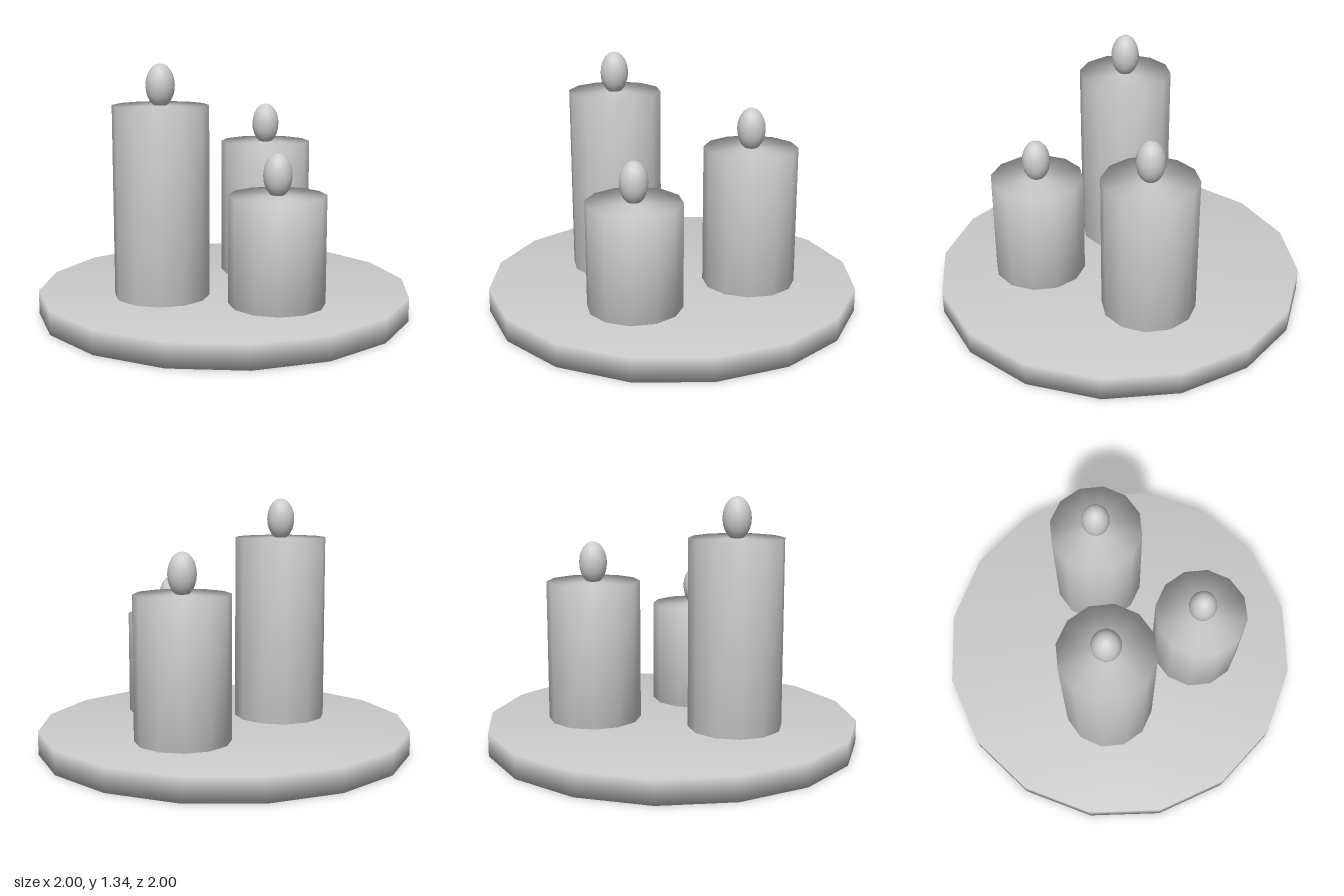
import * as THREE from 'three';
import { mergeVertices } from 'three/addons/utils/BufferGeometryUtils.js';

const PLATE_H = 0.125;

// Weld the rim so shading runs smoothly from side to cap
function smoothCylinder(radius, height, sides) {
  const geo = new THREE.CylinderGeometry(radius, radius, height, sides);
  geo.deleteAttribute('uv');
  geo.deleteAttribute('normal');
  const welded = mergeVertices(geo, 1e-4);
  welded.computeVertexNormals();
  return welded;
}

export function createModel() {
  const group = new THREE.Group();
  group.name = 'candlePlate';

  const wax = new THREE.MeshStandardMaterial({ color: 0xcccccc });
  wax.name = 'light grey';

  const add = (parent, name, geo, y) => {
    const mesh = new THREE.Mesh(geo, wax);
    mesh.name = name;
    mesh.position.y = y;
    parent.add(mesh);
    return mesh;
  };

  // Round sixteen-sided plate
  add(group, 'plate', smoothCylinder(1, PLATE_H, 16), PLATE_H / 2);

  // Three candles of different heights, each with an egg-shaped flame
  const flameGeo = new THREE.SphereGeometry(0.075, 16, 12);
  const candles = [
    { name: 'tallCandle', x: -0.375, z: 0, height: 1 },
    { name: 'middleCandle', x: 0.375, z: -0.1875, height: 0.75 },
    { name: 'shortCandle', x: 0.0625, z: 0.4375, height: 0.5625 },
  ];
  for (const { name, x, z, height } of candles) {
    const candle = new THREE.Group();
    candle.name = name;
    candle.position.set(x, PLATE_H, z);
    add(candle, 'candleBody', smoothCylinder(0.25, height, 12), height / 2);
    add(candle, 'flame', flameGeo, height + 0.1).scale.y = 1.5;
    group.add(candle);
  }

  return group;
}
